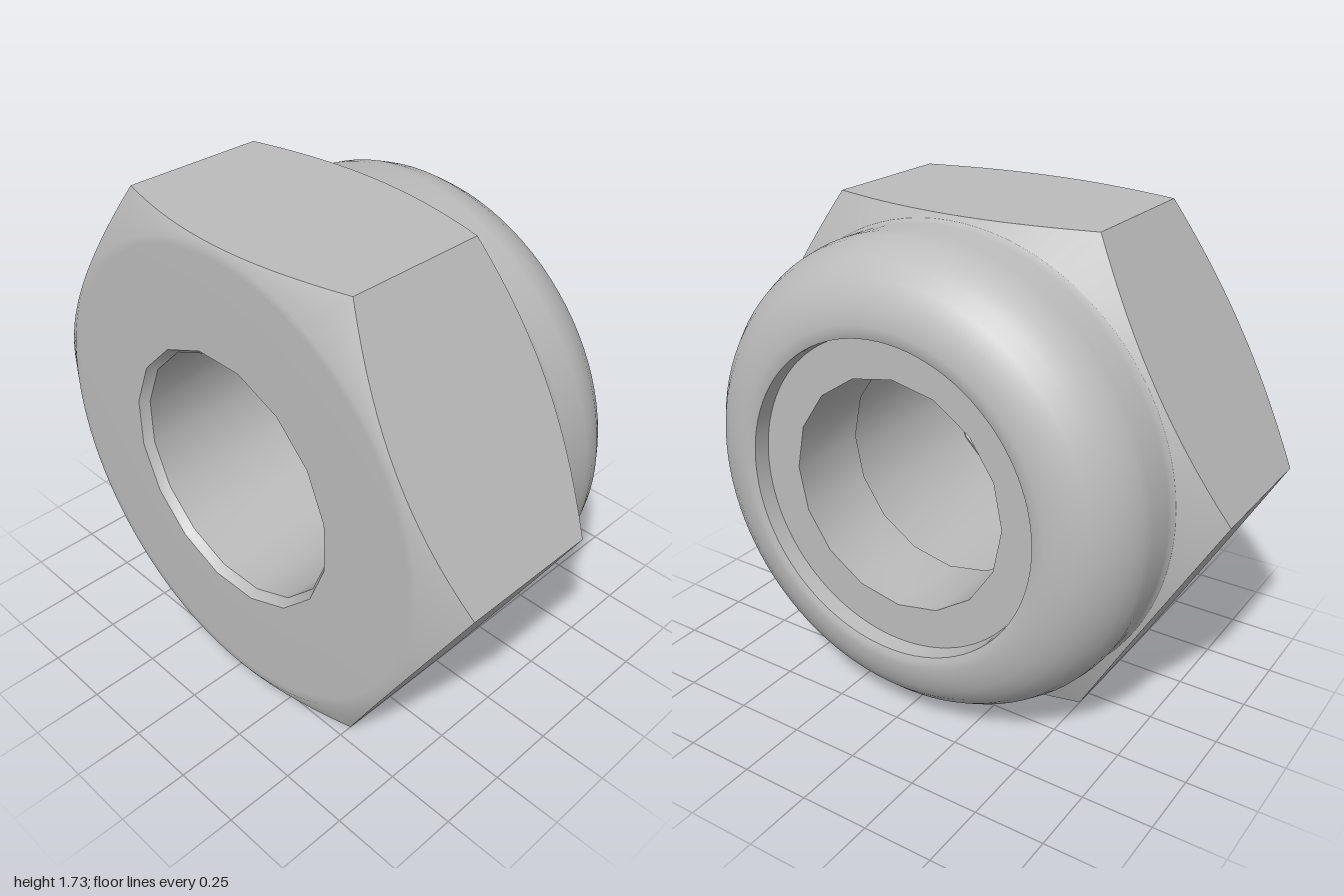
import * as THREE from 'three';
import { toCreasedNormals } from 'three/addons/utils/BufferGeometryUtils.js';

const SEG = 96;          // divides evenly into hexagon sides and 16-gon half steps
const FRONT = 0.537, BACK = -0.537;

// Distance to the edge of a regular polygon with n sides, along angle t
function polygonRadius(radius, n, offset, t) {
  const step = (2 * Math.PI) / n;
  const a = (((t - offset) % step) + step) % step;
  return (radius * Math.cos(step / 2)) / Math.cos(a - step / 2);
}

// Skin a closed surface over rings; each ring maps an angle to [radius, z]
function skinRings(rings, crease) {
  const pos = [], index = [];
  rings.forEach((ring, j) => {
    for (let i = 0; i < SEG; i++) {
      const t = (i / SEG) * 2 * Math.PI;
      const [r, z] = ring(t);
      pos.push(r * Math.cos(t), r * Math.sin(t), z);
      if (j === rings.length - 1) continue;
      const a = j * SEG + i, b = j * SEG + ((i + 1) % SEG);
      index.push(a, a + SEG, b, b, a + SEG, b + SEG);
    }
  });
  const geo = new THREE.BufferGeometry();
  geo.setAttribute('position', new THREE.Float32BufferAttribute(pos, 3));
  geo.setIndex(index);
  return toCreasedNormals(geo, crease);
}

// Sixteen-sided turned part about the z axis, from [radius, z] pairs
function turned(points, phiStart) {
  const geo = new THREE.LatheGeometry(points.map(([r, z]) => new THREE.Vector2(r, z)), 16, phiStart);
  geo.rotateX(Math.PI / 2);
  return toCreasedNormals(geo, 0.5);
}

export function createModel() {
  const group = new THREE.Group();
  const steel = new THREE.MeshStandardMaterial({ color: 0xbcbcbc });
  const add = (name, geo) => {
    const mesh = new THREE.Mesh(geo, steel);
    mesh.name = name;
    mesh.position.y = Math.sqrt(3) / 2;
    group.add(mesh);
  };
  const circle = ([r, z]) => () => [r, z];
  const hex = (t) => polygonRadius(1, 6, 0, t);

  // Hexagonal body: front face, conical chamfers cut by the six flats
  add('hexBody', skinRings([
    (t) => [polygonRadius(0.475, 16, Math.PI / 16, t), FRONT],
    circle([0.82, FRONT]),
    circle([0.85, FRONT - 0.001]),
    (t) => [hex(t), FRONT - 0.001 - 0.567 * (hex(t) - 0.85)],
    (t) => [hex(t), -0.149 + 0.56 * (hex(t) - 0.85)],
    circle([0.85, -0.149]),
  ], 0.7));

  // Rounded collar with a rolled lip at the back
  add('collar', skinRings([
    [0.85, -0.149], [0.843, -0.163], [0.84, -0.185], [0.84, -0.29],
    [0.833, -0.335], [0.812, -0.39], [0.78, -0.44], [0.738, -0.484],
    [0.69, -0.513], [0.64, -0.53], [0.6, BACK], [0.575, BACK],
    [0.556, -0.53], [0.55, -0.46],
  ].map(circle), 0.7));

  // Bore with a small lead-in chamfer
  add('bore', turned([[0.475, FRONT], [0.453, 0.505], [0.453, -0.16]], Math.PI / 16));

  // Locking insert ring held under the lip
  add('lockingInsert', turned([[0.6, -0.16], [0.412, -0.16], [0.412, -0.47], [0.6, -0.47]], 0));

  return group;
}
